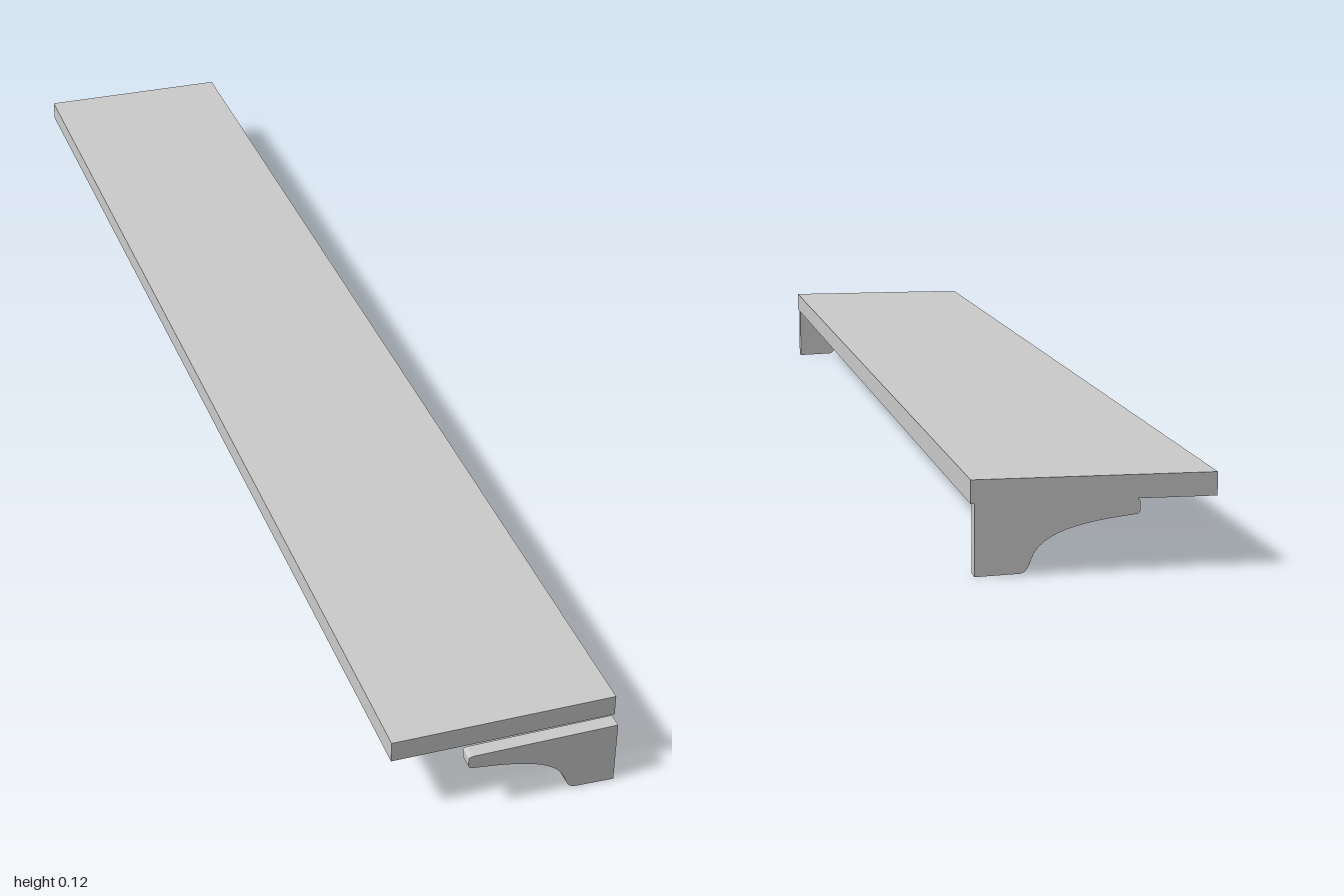
import * as THREE from 'three';

const material = new THREE.MeshStandardMaterial({ color: 0xcccccc });

// Bracket side profile: straight wall edge and top, curved lower front edge
function bracketGeometry(depth) {
  const s = new THREE.Shape();
  s.moveTo(0.155, 0);
  s.lineTo(0.155, 0.095);
  s.lineTo(-0.05, 0.094);
  s.quadraticCurveTo(-0.059, 0.094, -0.059, 0.09);
  s.lineTo(-0.059, 0.079);
  s.quadraticCurveTo(-0.059, 0.074, -0.052, 0.0735);
  s.bezierCurveTo(0.02, 0.066, 0.07, 0.054, 0.082, 0.021);
  s.quadraticCurveTo(0.087, 0.003, 0.097, 0.002);
  s.closePath();
  return new THREE.ExtrudeGeometry(s, { depth, bevelEnabled: false, curveSegments: 12 });
}

export function createModel() {
  const group = new THREE.Group();

  // Long flat board, its front end stopping just behind the front bracket
  const board = new THREE.Mesh(new THREE.BoxGeometry(0.32, 0.031, 1.977), material);
  board.name = 'shelfBoard';
  board.position.set(0, 0.1095, -0.0115);
  group.add(board);

  // One bracket at each end
  const depth = 0.021;
  const geometry = bracketGeometry(depth);
  for (const [name, z] of [['frontBracket', 1 - depth], ['backBracket', -1]]) {
    const bracket = new THREE.Mesh(geometry, material);
    bracket.name = name;
    bracket.position.z = z;
    group.add(bracket);
  }
  return group;
}
